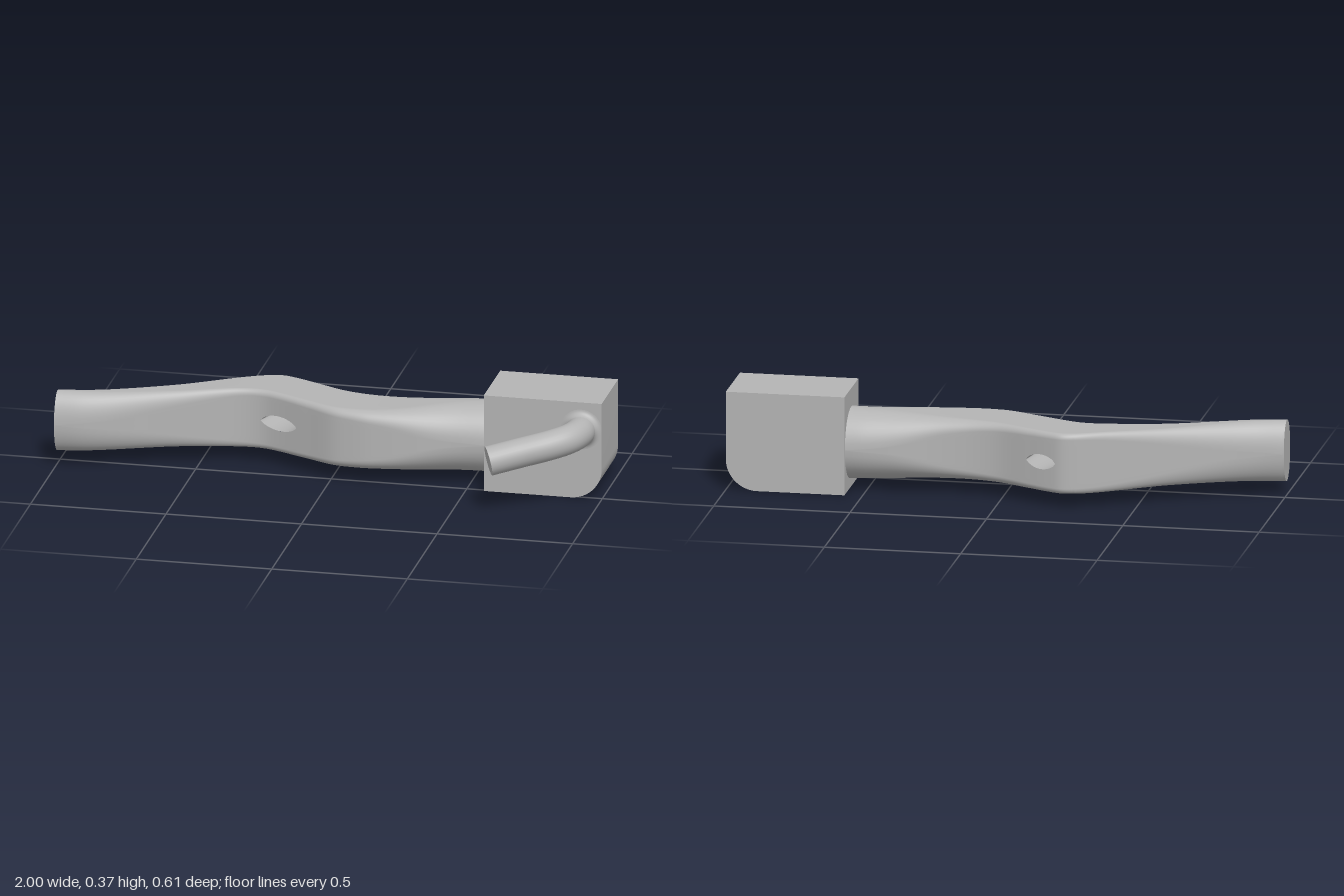
import * as THREE from 'three';
import { mergeVertices, toCreasedNormals } from 'three/addons/utils/BufferGeometryUtils.js';

const CY = 0.165; // height of the arm's centre line

// Smooth interpolation through [x, value] pairs
function smooth(pts) {
  const slope = (i) => {
    const a = pts[Math.max(i - 1, 0)], b = pts[Math.min(i + 1, pts.length - 1)];
    return (b[1] - a[1]) / (b[0] - a[0]);
  };
  return (x) => {
    let i = 0;
    while (i < pts.length - 2 && x > pts[i + 1][0]) i++;
    const [x0, y0] = pts[i], [x1, y1] = pts[i + 1], d = x1 - x0, t = (x - x0) / d;
    const t2 = t * t, t3 = t2 * t;
    return (2 * t3 - 3 * t2 + 1) * y0 + (t3 - 2 * t2 + t) * d * slope(i)
      + (3 * t2 - 2 * t3) * y1 + (t3 - t2) * d * slope(i + 1);
  };
}

// Outlines of the arm: back edge, front edge, half height, corner roundness
const backZ = smooth([[-1, -0.02], [-0.9, -0.04], [-0.8, -0.073], [-0.6, -0.155], [-0.4, -0.25],
  [-0.3, -0.296], [-0.24, -0.309], [-0.19, -0.295], [-0.1, -0.255], [0, -0.21], [0.07, -0.194],
  [0.15, -0.19], [0.25, -0.199], [0.4, -0.232], [0.5, -0.25], [0.57, -0.256]]);
const frontZ = smooth([[-1, 0.105], [-0.9, 0.09], [-0.8, 0.058], [-0.6, -0.028], [-0.4, -0.101],
  [-0.32, -0.114], [-0.25, -0.102], [-0.1, -0.03], [0, 0.02], [0.07, 0.036], [0.15, 0.042],
  [0.3, 0.03], [0.45, 0.004], [0.57, -0.01]]);
const halfY = smooth([[-1, 0.114], [-0.6, 0.106], [-0.35, 0.112], [0, 0.111], [0.2, 0.113],
  [0.4, 0.124], [0.57, 0.132]]);
const round = smooth([[-1, 1], [-0.8, 0.8], [-0.5, 0.36], [-0.3, 0.2], [0, 0.25], [0.2, 0.45],
  [0.4, 0.85], [0.57, 1]]);

// Slanted through-hole: x range at the front and at the back of the arm
const HOLE_FRONT = [-0.285, -0.14], HOLE_BACK = [-0.215, -0.1], HOLE_H = 0.0275;
function holeHalf([x0, x1], x) {
  const u = (2 * x - x0 - x1) / (x1 - x0);
  return Math.abs(u) < 1 ? HOLE_H * Math.pow(1 - u * u, 0.7) : 0;
}

// Skin over a grid of points, rows[i][j]
function skin(rowSets) {
  const pos = [], idx = [];
  for (const rows of rowSets) {
    const base = pos.length / 3, n = rows[0].length;
    rows.forEach((r) => r.forEach((p) => pos.push(...p)));
    for (let i = 0; i < rows.length - 1; i++) {
      for (let j = 0; j < n - 1; j++) {
        const a = base + i * n + j, b = a + n;
        idx.push(a, b, b + 1, a, b + 1, a + 1);
      }
    }
  }
  const g = new THREE.BufferGeometry();
  g.setAttribute('position', new THREE.Float32BufferAttribute(pos, 3));
  g.setIndex(idx);
  const merged = mergeVertices(g, 1e-5);
  merged.computeVertexNormals();
  return merged;
}

// Upper half of the arm's cross-section, from the front over the top to the back
function upperSection(x) {
  const zf = frontZ(x), zb = backZ(x), a = (zf - zb) / 2, c = (zf + zb) / 2;
  const b = halfY(x), k = Math.min(round(x), 1), rz = a * k, ry = b * k;
  const out = [], f = holeHalf(HOLE_FRONT, x), h = holeHalf(HOLE_BACK, x);
  for (let i = 0; i < 4; i++) out.push([x, f + (b - ry - f) * i / 4, zf]);
  for (let i = 0; i <= 10; i++) {
    const t = Math.PI / 2 * i / 10;
    out.push([x, b - ry + ry * Math.sin(t), c + a - rz + rz * Math.cos(t)]);
  }
  for (let i = 1; i < 4; i++) out.push([x, b, c + (a - rz) * (1 - i / 2)]);
  for (let i = 0; i <= 10; i++) {
    const t = Math.PI / 2 * (1 + i / 10);
    out.push([x, b - ry + ry * Math.sin(t), c - a + rz + rz * Math.cos(t)]);
  }
  for (let i = 3; i >= 0; i--) out.push([x, h + (b - ry - h) * i / 4, zb]);
  return out;
}

export function createModel() {
  const group = new THREE.Group();
  const gray = new THREE.MeshStandardMaterial({ color: 0xb4b4b4 });
  gray.name = 'plainGray';
  const add = (name, geometry) => {
    const m = new THREE.Mesh(geometry, gray);
    m.name = name;
    group.add(m);
    return m;
  };

  // Bent arm, built as upper and lower halves that part around the hole
  const xs = [...HOLE_FRONT, ...HOLE_BACK];
  for (let i = 0; i <= 180; i++) xs.push(-1 + 1.57 * i / 180);
  xs.sort((p, q) => p - q);
  const upper = [], lower = [];
  for (const x of xs) {
    const s = upperSection(x);
    upper.push(s.map(([px, y, z]) => [px, CY + y, z]));
    lower.push(s.map(([px, y, z]) => [px, CY - y, z]).reverse());
  }
  add('arm', skin([upper, lower]));

  // Inside wall of the hole
  const wall = [];
  for (let i = 0; i <= 48; i++) {
    const t = Math.PI * 2 * i / 48, s = Math.sin(t);
    const y = CY + Math.sign(s) * HOLE_H * Math.pow(Math.abs(s), 1.4);
    const at = ([x0, x1]) => (x0 + x1) / 2 + (x1 - x0) / 2 * Math.cos(t);
    const xf = at(HOLE_FRONT), xb = at(HOLE_BACK);
    wall.push([[xf, y, frontZ(xf)], [xb, y, backZ(xb)]]);
  }
  add('holeWall', skin([wall]));

  // Flat oval end of the arm
  const cap = add('armEnd', new THREE.CircleGeometry(1, 40));
  cap.scale.set((frontZ(-1) - backZ(-1)) / 2, halfY(-1), 1);
  cap.rotation.y = -Math.PI / 2;
  cap.position.set(-1, CY, (frontZ(-1) + backZ(-1)) / 2);

  // Block with one rounded lower corner
  const r = 0.115, shape = new THREE.Shape();
  shape.moveTo(0.565, 0);
  shape.lineTo(1 - r, 0);
  shape.absarc(1 - r, r, r, -Math.PI / 2, 0, false);
  shape.lineTo(1, 0.365);
  shape.lineTo(0.565, 0.365);
  shape.closePath();
  const block = new THREE.ExtrudeGeometry(shape, { depth: 0.275, bevelEnabled: false, curveSegments: 16 });
  block.translate(0, 0, -0.265);
  add('block', toCreasedNormals(block, 0.5));

  // Bent round handle
  const path = new THREE.CatmullRomCurve3([
    [0.925, 0.262, -0.01], [0.922, 0.262, 0.06], [0.898, 0.259, 0.118],
    [0.84, 0.248, 0.165], [0.74, 0.227, 0.21], [0.636, 0.204, 0.255],
  ].map((p) => new THREE.Vector3(...p)));
  const R = 0.054;
  add('handle', new THREE.TubeGeometry(path, 48, R, 28));
  const tip = add('handleEnd', new THREE.CircleGeometry(R, 28));
  tip.position.copy(path.getPoint(1));
  tip.quaternion.setFromUnitVectors(new THREE.Vector3(0, 0, 1), path.getTangent(1));

  // Concave fillet where the handle meets the block
  const profile = [];
  for (let i = 0; i <= 8; i++) {
    const t = Math.PI / 2 * i / 8, f = 0.022;
    profile.push(new THREE.Vector2(R + f * (1 - Math.sin(t)), f * (1 - Math.cos(t))));
  }
  const fillet = add('handleFillet', new THREE.LatheGeometry(profile, 36));
  fillet.rotation.x = Math.PI / 2;
  fillet.position.set(0.924, 0.262, 0.01);

  return group;
}
